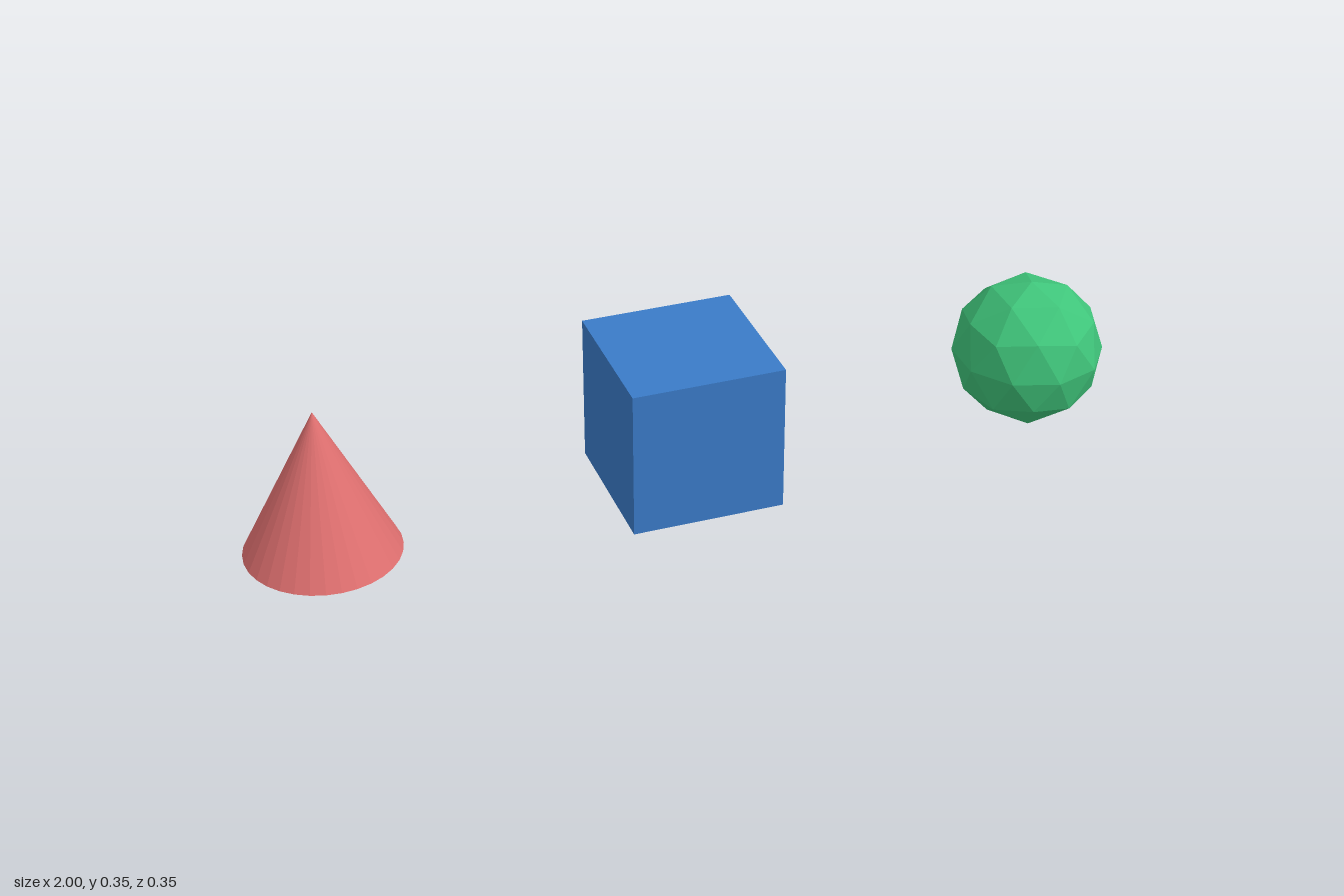
import * as THREE from 'three';

const R = 0.1735; // half the size of every solid

export function createModel() {
  const group = new THREE.Group();

  // Places one flat-shaded solid so that it stands on the ground
  const addSolid = (name, geometry, color, x) => {
    const material = new THREE.MeshStandardMaterial({ color, flatShading: true });
    const mesh = new THREE.Mesh(geometry, material);
    mesh.name = name;
    mesh.position.set(x, R, 0);
    group.add(mesh);
  };

  // Cone on the model's right
  addSolid('cone', new THREE.ConeGeometry(R, 2 * R, 32), 0xe07070, -0.8265);

  // Cube in the middle
  addSolid('cube', new THREE.BoxGeometry(2 * R, 2 * R, 2 * R), 0x3a7bc8, -0.004);

  // Faceted ball on the model's left, turned so a corner points straight up
  const ball = new THREE.IcosahedronGeometry(R, 1);
  ball.rotateZ(-Math.atan(2 / (1 + Math.sqrt(5))));
  addSolid('ball', ball, 0x3fc47a, 0.834);

  return group;
}
